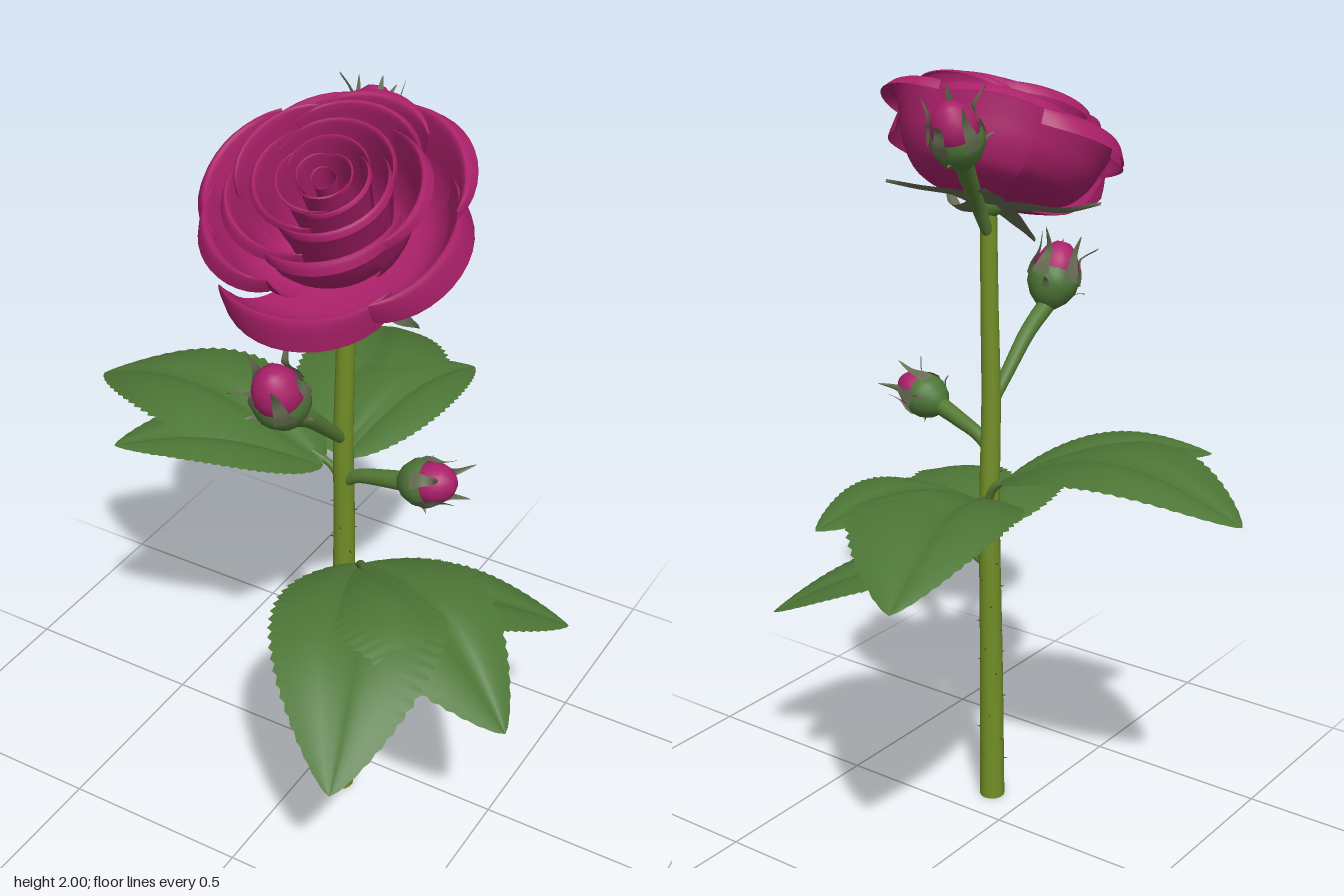
import * as THREE from 'three';

const V = (x, y, z) => new THREE.Vector3(x, y, z);
const UP = V(0, 1, 0);
const RAD = Math.PI / 180;
const material = (name, color, side = THREE.FrontSide) => {
  const m = new THREE.MeshStandardMaterial({ color, side });
  m.name = name;
  return m;
};
const spline2 = points => new THREE.SplineCurve(points.map(([r, y]) => new THREE.Vector2(r, y)));

// Open sheet from a rule: u runs across (-1..1), t runs along (0..1)
function sheet(rule, across, along) {
  const pos = [], index = [];
  for (let j = 0; j <= along; j++) {
    for (let i = 0; i <= across; i++) {
      const p = rule(i / across * 2 - 1, j / along, j);
      pos.push(p.x, p.y, p.z);
      if (i < across && j < along) {
        const a = j * (across + 1) + i, b = a + across + 1;
        index.push(a, b, a + 1, a + 1, b, b + 1);
      }
    }
  }
  const g = new THREE.BufferGeometry();
  g.setAttribute('position', new THREE.Float32BufferAttribute(pos, 3));
  g.setIndex(index);
  g.computeVertexNormals();
  return g;
}

// Arched leaf with a grooved midrib, saw-toothed edge and separate left and right widths
function leafGeometry(base, tip, leftWidth, rightWidth, arch) {
  const side = tip.clone().sub(base).cross(UP).normalize();
  return sheet((u, t, row) => {
    const a = Math.abs(u);
    const tooth = a === 1 ? 1 + 0.03 * (row % 3) : 1;
    const outline = Math.pow(Math.max(0, Math.sin(Math.PI * Math.pow(t, 0.82))), 0.76);
    const w = (u < 0 ? leftWidth : rightWidth) * outline * tooth;
    const p = base.clone().lerp(tip, t).addScaledVector(side, u * w);
    p.y += arch * Math.sin(Math.PI * Math.pow(t, 1.05)) + w * (0.26 * Math.sqrt(a) - 0.24 * a * a);
    return p;
  }, 12, 72);
}

// Narrow pointed sepal following a radius/height profile
function sepalGeometry(profile, angle, halfWidth) {
  const curve = spline2(profile);
  const c = Math.cos(angle), s = Math.sin(angle);
  return sheet((u, t) => {
    const q = curve.getPoint(t);
    const w = u * halfWidth * Math.pow(1 - t, 0.9);
    const y = q.y + Math.abs(u) * halfWidth * 0.15;
    return V(q.x * c - w * s, y, q.x * s + w * c);
  }, 4, 14);
}

// Cupped petal: bowl that opens upward, then a rim rolled outward to a soft point
function petalGeometry(angle, spread, R, H, roll) {
  const profile = spline2([[0, 0], [0.53 * R, 0.15 * H], [0.73 * R, 0.4 * H], [0.83 * R, 0.74 * H],
    [0.91 * R, 0.97 * H], [R, H - roll]]);
  return sheet((u, v) => {
    const q = profile.getPoint(v * (1 - 0.06 * Math.pow(Math.abs(u), 3)));
    const a = angle + u * spread;
    const rim = Math.pow(v, 4);
    const r = q.x * (1 + 0.05 * u - 0.12 * rim * u * u);
    const y = q.y - 0.08 * H * rim * u * u;
    return V(r * Math.cos(a), y, r * Math.sin(a));
  }, 14, 22);
}

export function createModel() {
  const root = new THREE.Group();
  root.name = 'rose';
  const stemGreen = material('stem green', 0x728e27);
  const stalkGreen = material('stalk green', 0x547a35);
  const leafGreen = material('leaf green', 0x4d7636, THREE.DoubleSide);
  const sepalGreen = material('sepal grey green', 0x666d53, THREE.DoubleSide);
  const rose = material('petal magenta', 0xaa2069, THREE.DoubleSide);
  const thornBrown = material('thorn brown', 0x4c4a24);

  const add = (parent, name, geometry, mat) => {
    const m = new THREE.Mesh(geometry, mat);
    m.name = name;
    parent.add(m);
    return m;
  };
  // Round stalk along a curve, tapering from r0 to r1
  const stalk = (name, points, r0, r1, mat) => {
    const curve = new THREE.CatmullRomCurve3(points);
    const rows = 24, sides = 14;
    const g = new THREE.TubeGeometry(curve, rows, 1, sides);
    const p = g.attributes.position, v = V(0, 0, 0);
    for (let i = 0; i < p.count; i++) {
      const t = Math.floor(i / (sides + 1)) / rows;
      const c = curve.getPointAt(t);
      v.fromBufferAttribute(p, i).sub(c).multiplyScalar(r0 + (r1 - r0) * t).add(c);
      p.setXYZ(i, v.x, v.y, v.z);
    }
    add(root, name, g, mat);
    return curve;
  };
  const place = (name, position, axis) => {
    const g = new THREE.Group();
    g.name = name;
    g.position.copy(position);
    g.quaternion.setFromUnitVectors(UP, axis.normalize());
    root.add(g);
    return g;
  };
  const lathe = points => new THREE.LatheGeometry(points.map(p => new THREE.Vector2(...p)), 20);

  // Main stem and its cut end
  const stem = stalk('stem', [V(0.1, 0, 0.106), V(0.102, 0.4, 0.106), V(0.103, 0.85, 0.1),
    V(0.106, 1.15, 0.112), V(0.112, 1.4, 0.114), V(0.115, 1.66, 0.115)], 0.034, 0.021, stemGreen);
  const cut = add(root, 'stemEnd', new THREE.CircleGeometry(0.034, 14), stemGreen);
  cut.rotation.x = Math.PI / 2;
  cut.position.set(0.1, 0.001, 0.106);

  // Small thorns spiralling up the stem
  const thornShape = new THREE.ConeGeometry(0.003, 0.014, 5);
  for (let i = 0; i < 36; i++) {
    const t = 0.05 + i * 0.015, a = i * 2.4;
    const out = V(Math.cos(a), 0, Math.sin(a));
    const thorn = add(root, 'thorn', thornShape, thornBrown);
    thorn.position.copy(stem.getPointAt(t)).addScaledVector(out, 0.037 - 0.013 * t);
    thorn.quaternion.setFromUnitVectors(UP, out);
  }

  // Leaf stalks
  stalk('upperLeafStalk', [V(0.095, 0.78, 0.095), V(0.065, 0.87, 0.04), V(0.01, 0.95, -0.06), V(-0.01, 0.965, -0.1)], 0.018, 0.009, stalkGreen);
  stalk('leftLeafStalk', [V(0.055, 0.89, 0.02), V(0.02, 0.96, 0.01), V(-0.04, 1.0, 0.02)], 0.012, 0.008, stalkGreen);
  stalk('lowerLeafStalk', [V(0.1, 0.66, 0.1), V(0.14, 0.72, 0.11), V(0.16, 0.78, 0.12), V(0.2, 0.82, 0.17)], 0.016, 0.009, stalkGreen);
  stalk('smallLeafStalk', [V(0.12, 0.69, 0.105), V(0.17, 0.71, 0.1), V(0.22, 0.7, 0.06)], 0.012, 0.007, stalkGreen);

  // Leaves: base, tip, left width, right width, arch
  const leaves = [
    ['leftLeaf', V(0.0, 0.98, 0.03), V(-0.69, 1.02, 0.01), 0.2, 0.185, 0.09],
    ['leftLeafLobe', V(0.0, 0.975, 0.03), V(-0.43, 1.055, 0.32), 0.12, 0.16, 0.05],
    ['backLeaf', V(0.0, 0.95, -0.06), V(-0.22, 0.94, -0.71), 0.17, 0.22, 0.085],
    ['backLeafLobe', V(0.0, 0.945, -0.06), V(0.13, 1.0, -0.55), 0.17, 0.125, 0.06],
    ['frontLeaf', V(0.15, 0.77, 0.1), V(0.42, 0.61, 0.71), 0.23, 0.18, 0.11],
    ['frontLeafLobe', V(0.15, 0.765, 0.1), V(0.69, 0.65, 0.36), 0.16, 0.23, 0.105],
    ['smallLeaf', V(0.17, 0.7, 0.1), V(0.6, 0.535, -0.21), 0.125, 0.135, 0.035],
  ];
  for (const [name, ...shape] of leaves) add(root, name, leafGeometry(...shape), leafGreen);

  // Bloom, tilted toward the front
  const bloom = place('bloom', V(0.115, 1.66, 0.12), V(0.06, 0.88, 0.47));
  add(bloom, 'bloomBase', lathe([[0, -0.04], [0.024, -0.03], [0.038, -0.01], [0.045, 0.02], [0, 0.04]]), stalkGreen);
  // Sepals: angle in degrees, reach, tip height
  for (const [deg, r, h] of [[33, 0.37, 0.13], [92, 0.22, -0.035], [177, 0.31, 0.02], [238, 0.26, -0.035], [306, 0.27, -0.03]]) {
    add(bloom, 'bloomSepal', sepalGeometry([[0.015, -0.015], [0.35 * r, -0.01], [0.7 * r, 0.3 * h - 0.014], [r, h]],
      deg * RAD, 0.052), sepalGreen);
  }
  // Rings of inner petals: count, spread, radius, height, roll, starting angle
  const rings = [
    [2, 1.9, 0.03, 0.262, 0, 0.4], [3, 1.35, 0.065, 0.275, 0.005, 1.2], [3, 1.3, 0.11, 0.28, 0.012, 2.3],
    [3, 1.3, 0.165, 0.28, 0.022, 0.5], [5, 0.85, 0.235, 0.265, 0.032, 4.71],
  ];
  for (const [count, spread, R, H, roll, start] of rings) {
    for (let k = 0; k < count; k++) {
      add(bloom, 'innerPetal', petalGeometry(start + k * 2 * Math.PI / count, spread, R, H, roll), rose);
    }
  }
  // Outer petals: angle in degrees, spread, radius, height, roll
  const outer = [[75, 0.7, 0.345, 0.185, 0.08], [178, 0.72, 0.325, 0.2, 0.05], [8, 0.68, 0.335, 0.2, 0.075],
    [130, 0.6, 0.305, 0.21, 0.05], [238, 0.72, 0.285, 0.225, 0.03], [272, 0.6, 0.275, 0.25, 0.015],
    [314, 0.65, 0.325, 0.235, 0.03]];
  for (const [deg, ...shape] of outer) add(bloom, 'outerPetal', petalGeometry(deg * RAD, ...shape), rose);

  // Buds: stalk path ending at the bud's base, axis, size
  const buds = [
    ['frontBud', [V(0.105, 1.14, 0.115), V(0.107, 1.2, 0.18), V(0.11, 1.29, 0.28), V(0.11, 1.345, 0.365)], V(0, 0.88, 0.45), 1],
    ['sideBud', [V(0.105, 1.01, 0.108), V(0.15, 1.045, 0.115), V(0.22, 1.07, 0.125), V(0.285, 1.09, 0.135)], V(0.95, 0.32, 0.05), 0.86],
    ['backBud', [V(0.113, 1.58, 0.113), V(0.105, 1.66, 0.06), V(0.08, 1.74, -0.01), V(0.06, 1.795, -0.06)], V(-0.08, 0.88, -0.45), 0.98],
  ];
  const cup = [[0, -0.012], [0.024, -0.008], [0.05, 0.016], [0.067, 0.048], [0.068, 0.074], [0.062, 0.092]];
  const heart = [[0.05, 0.06], [0.06, 0.09], [0.056, 0.12], [0.042, 0.15], [0.02, 0.168], [0, 0.17]];
  for (const [name, path, axis, size] of buds) {
    stalk(name + 'Stalk', path, 0.015, 0.024, stalkGreen);
    const bud = place(name, path[3], axis);
    bud.scale.setScalar(size);
    add(bud, 'budCup', lathe(cup), leafGreen);
    add(bud, 'budPetals', lathe(heart), rose);
    for (let k = 0; k < 5; k++) {
      const flare = k % 2 ? 0.1 : 0.065;
      add(bud, 'budSepal', sepalGeometry([[0.068, 0.065], [0.067, 0.095], [0.058, 0.135], [flare, 0.2 - flare * 0.2]],
        k * 1.2566 + 0.94, 0.027), sepalGreen);
    }
    for (let k = 0; k < 3; k++) {
      add(bud, 'budBract', sepalGeometry([[0.06, 0.035], [0.075, 0.05], [0.095, 0.055]], k * 2.0944 + 0.2, 0.012), sepalGreen);
    }
  }
  return root;
}
